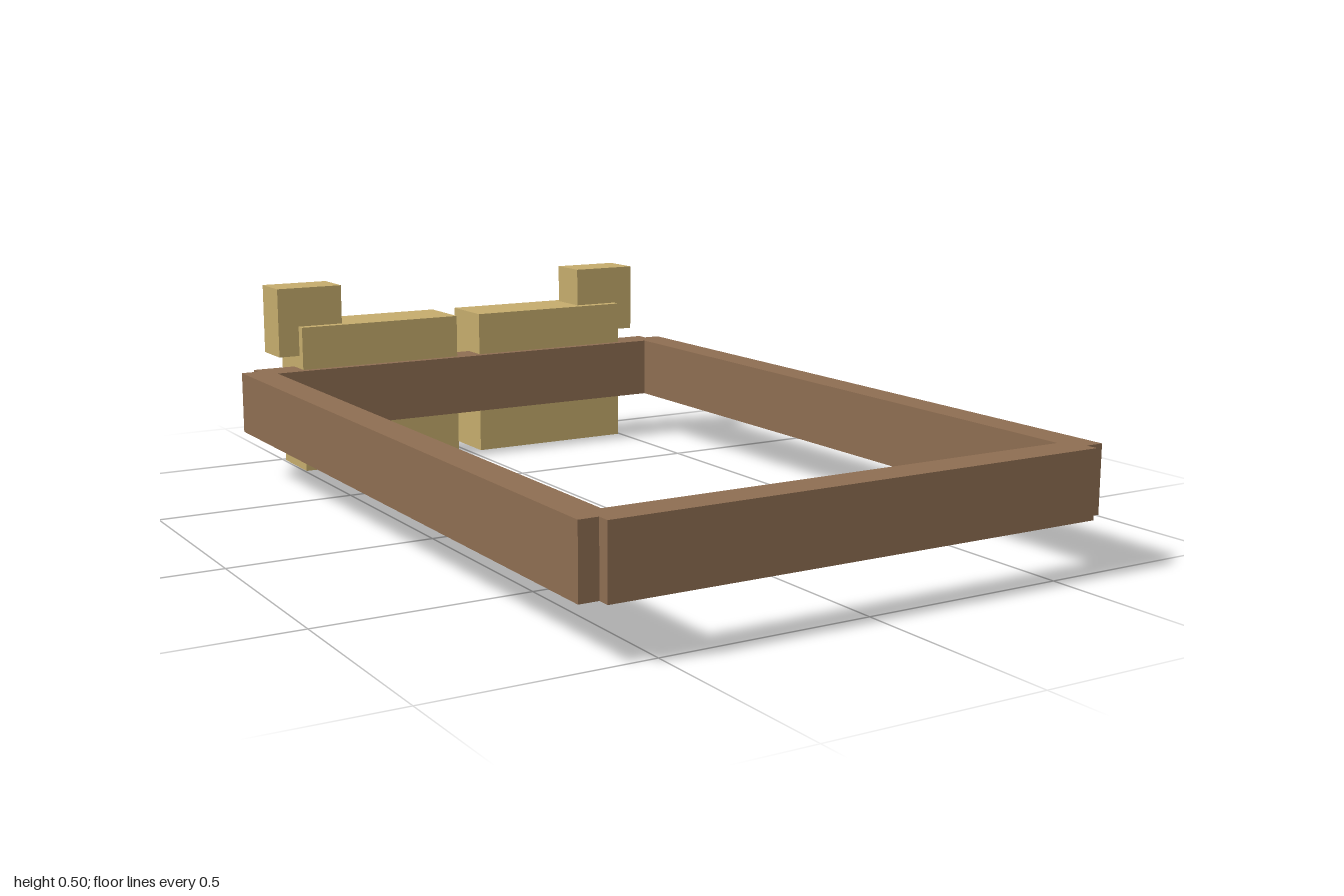
import * as THREE from 'three';

export function createModel() {
  const model = new THREE.Group();
  model.name = 'goggles';

  const material = (name, color) => {
    const m = new THREE.MeshStandardMaterial({ color });
    m.name = name;
    return m;
  };
  const leather = material('brown leather', 0x8d6d51);
  const brass = material('brass', 0xc4ab6c);
  const glass = material('blue glass', 0xa3bacb);

  // Box given by its lower and upper limits on each axis
  function box(name, mat, [x0, x1], [y0, y1], [z0, z1]) {
    const mesh = new THREE.Mesh(new THREE.BoxGeometry(x1 - x0, y1 - y0, z1 - z0), mat);
    mesh.position.set((x0 + x1) / 2, (y0 + y1) / 2, (z0 + z1) / 2);
    mesh.name = name;
    model.add(mesh);
  }

  // Strap ends; the side straps stand slightly proud of them
  const strapY = [0.12, 0.28];
  box('frontStrap', leather, [-0.61, 0.61], strapY, [0.917, 1]);
  box('backStrap', leather, [-0.61, 0.61], strapY, [-0.893, -0.805]);

  // Bridge between the eyepieces
  box('bridge', brass, [-0.04, 0.04], [0.15, 0.255], [-0.965, -0.85]);

  // Mirrored parts
  for (const [side, s] of [['left', 1], ['right', -1]]) {
    const span = (a, b) => (s > 0 ? [a, b] : [-b, -a]);
    box(side + 'Strap', leather, span(0.575, 0.655), strapY, [-0.86, 0.97]);
    box(side + 'Eyepiece', brass, span(0.035, 0.495), [0, 0.395], [-0.985, -0.825]);
    box(side + 'Lens', glass, span(0.09, 0.437), [0.07, 0.325], [-1, -0.98]);
    box(side + 'CornerBlock', brass, span(0.37, 0.552), [0.315, 0.5], [-0.963, -0.85]);
  }

  return model;
}
